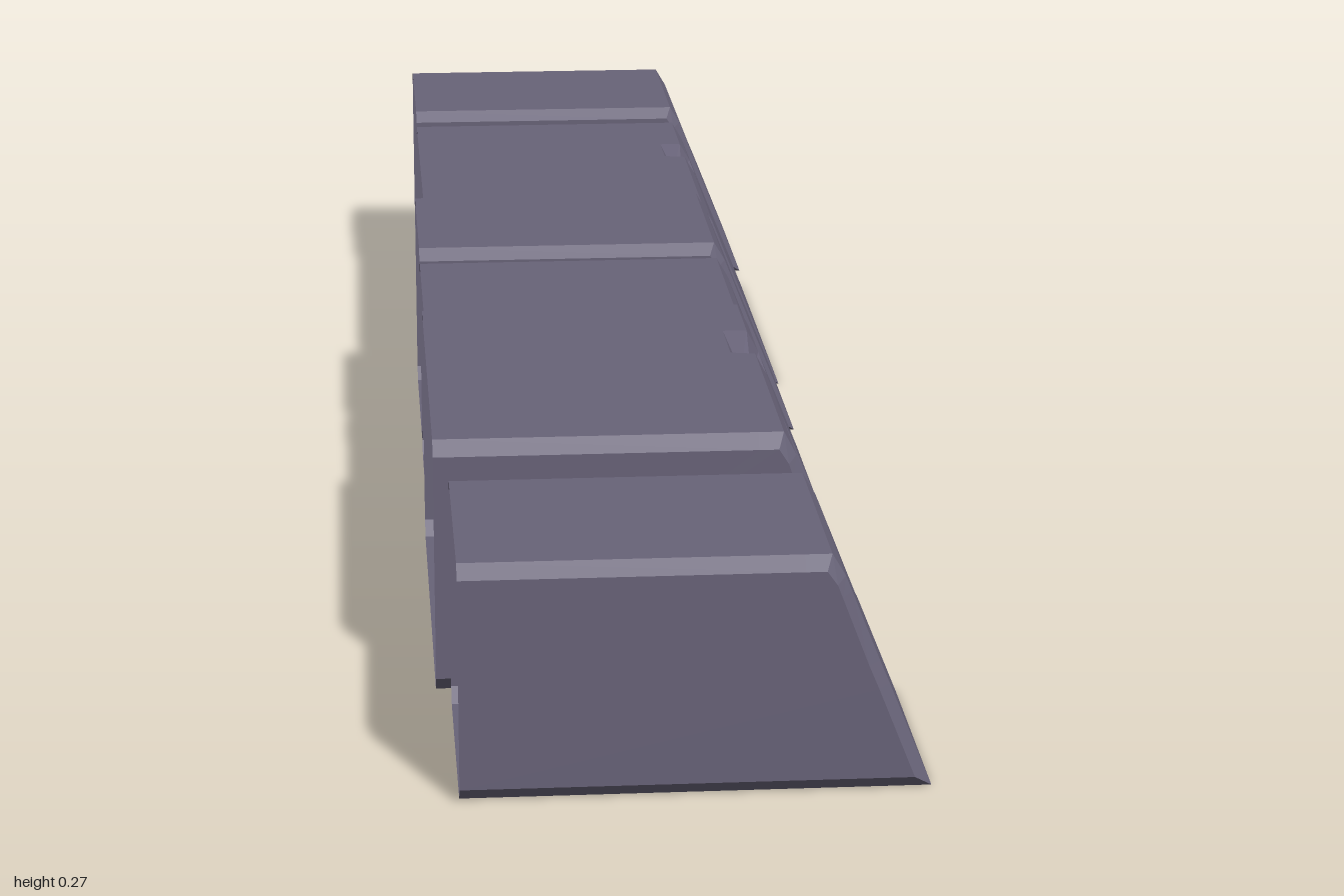
import * as THREE from 'three';

// Cross-section, bottom left round to top left; the left side stays open.
// The extra points on the slope and near the bevel are where chips are cut.
const OUTER = [[-0.218, 0], [0.232, 0], [0.19, 0.105], [0.185, 0.117], [0.18, 0.129],
  [0.152, 0.2], [0.146, 0.215], [0.133, 0.237], [0.107, 0.237], [-0.218, 0.237]];
// Smaller end face, leaving a bevel all round except on the open side
const INNER = [[-0.218, 0.014], [0.214, 0.014], [0.178, 0.105], [0.173, 0.117], [0.168, 0.129],
  [0.142, 0.197], [0.137, 0.21], [0.127, 0.224], [0.107, 0.224], [-0.218, 0.224]];
const BEVEL = 0.013;

function blockGeometry({ front, back, edgeChip, sideChip }) {
  const at = (profile, z) => profile.map(([x, y]) => [x, y, z]);
  const rings = [at(INNER, front), at(OUTER, front - BEVEL)];
  // chip on the upper edge: steep in front, tapering to the back
  if (edgeChip) {
    const dent = at(OUTER, edgeChip.z);
    dent[6] = [0.13, 0.211, edgeChip.z];
    dent[7] = [0.119, 0.217, edgeChip.z];
    rings.push(at(OUTER, edgeChip.z + 0.006), dent, at(OUTER, edgeChip.z - edgeChip.length));
  }
  const last = at(OUTER, back + BEVEL);
  if (sideChip) last[3][2] += 0.025; // nick in the rear edge of the slope
  rings.push(last, at(INNER, back));

  const v = [];
  const tri = (...points) => points.forEach((p) => v.push(...p));
  const n = OUTER.length;
  for (let s = 0; s < rings.length - 1; s++) {
    for (let i = 0; i < n - 1; i++) {
      const a = rings[s][i], b = rings[s][i + 1];
      const c = rings[s + 1][i + 1], d = rings[s + 1][i];
      tri(a, d, c);
      tri(a, c, b);
    }
  }
  // end faces
  const f = rings[0], r = rings[rings.length - 1];
  for (let i = 1; i < n - 1; i++) {
    tri(f[0], f[i], f[i + 1]);
    tri(r[0], r[i + 1], r[i]);
  }
  const geometry = new THREE.BufferGeometry();
  geometry.setAttribute('position', new THREE.Float32BufferAttribute(v, 3));
  geometry.computeVertexNormals();
  return geometry;
}

export function createModel() {
  const stone = new THREE.MeshStandardMaterial({ color: 0x686378, side: THREE.DoubleSide });
  stone.name = 'greyPurpleStone';

  // Row of kerb stones from front to back, each slightly shifted
  const blocks = [
    { front: 1, back: 0.743, x: 0, y: 0, sideChip: true },
    { front: 0.737, back: 0.263, x: -0.015, y: 0.004, tall: 1.122, edgeChip: { z: 0.455, length: 0.08 } },
    { front: 0.261, back: 0.004, x: -0.012, y: 0.014 },
    { front: 0, back: -0.257, x: -0.012, y: 0.025, sideChip: true },
    { front: -0.261, back: -0.735, x: 0, y: 0, edgeChip: { z: -0.535, length: 0.065 } },
    { front: -0.738, back: -1, x: 0, y: 0.015 },
  ];

  const model = new THREE.Group();
  model.name = 'stoneKerb';
  blocks.forEach((b, i) => {
    const mesh = new THREE.Mesh(blockGeometry(b), stone);
    mesh.name = `stoneBlock${i + 1}`;
    mesh.position.set(b.x, b.y, 0);
    mesh.scale.y = b.tall ?? 1;
    model.add(mesh);
  });
  return model;
}
